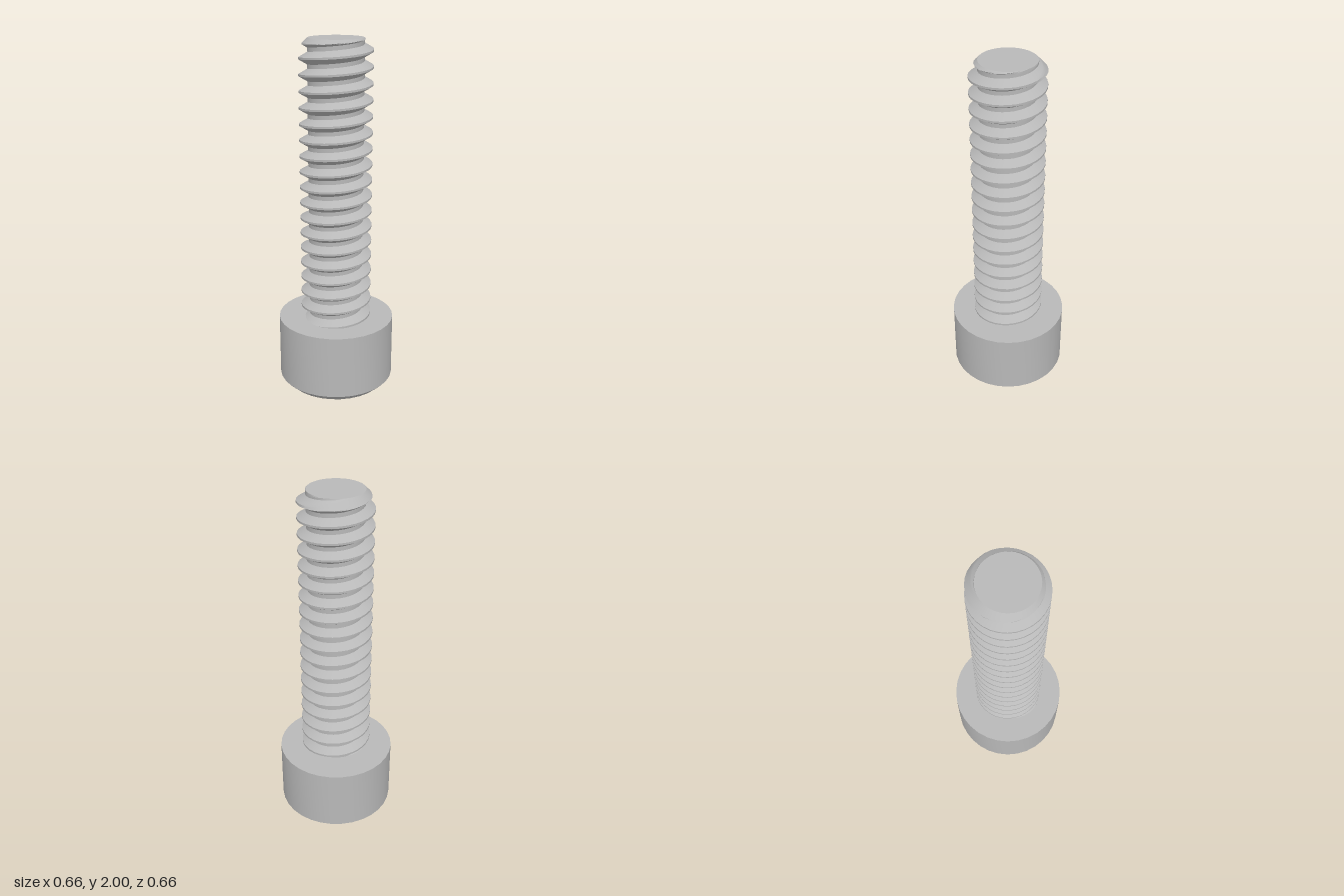
import * as THREE from 'three';
import { toCreasedNormals } from 'three/addons/utils/BufferGeometryUtils.js';

const SIDES = 32;
const TOP = 2, TIP_RADIUS = 0.152;
const PITCH = 0.0887, CREST = 0.202, ROOT = 0.154;
const HEAD_RADIUS = 0.332, HEAD_TOP = 0.404;

// Surface through a grid of points; point(i, j) returns [x, y, z]
function grid(nu, nv, point) {
  const pos = [], index = [];
  for (let i = 0; i <= nu; i++) for (let j = 0; j <= nv; j++) pos.push(...point(i, j));
  for (let i = 0; i < nu; i++) for (let j = 0; j < nv; j++) {
    const a = i * (nv + 1) + j, b = a + nv + 1;
    index.push(a, b, b + 1, a, b + 1, a + 1);
  }
  const g = new THREE.BufferGeometry();
  g.setAttribute('position', new THREE.Float32BufferAttribute(pos, 3));
  g.setIndex(index);
  return toCreasedNormals(g, 0.45);
}

const polar = (r, y, a) => [r * Math.cos(a), y, -r * Math.sin(a)];

// Right-handed thread: one-pitch section swept up a helix, trimmed by the tip chamfer
function threadGeometry() {
  const flank = 7, half = [];
  for (let k = 0; k <= flank; k++) {
    const t = k / flank;
    half.push([-PITCH * (3 / 8 - t * 5 / 16), ROOT + (CREST - ROOT) * t]);
  }
  const section = [
    [-PITCH / 2, ROOT], ...half,
    ...half.map(([u, r]) => [-u, r]).reverse(), [PITCH / 2, ROOT],
  ];
  const start = 1.946 - 18 * PITCH;
  return grid(20 * SIDES, section.length - 1, (i, j) => {
    const turn = i / SIDES;
    const y = Math.min(TOP, start + PITCH * turn + section[j][0]);
    const r = Math.min(section[j][1], TIP_RADIUS + TOP - y);
    return polar(r, y, turn * Math.PI * 2);
  });
}

// Hex recess: countersunk mouth, six walls and a floor
function socketGeometry() {
  const apothem = 0.166, mouth = 0.2, depth = 0.2, n = 72;
  return grid(n, 3, (i, j) => {
    const a = Math.PI / 2 - (i / n) * Math.PI * 2;
    const step = (i % (n / 6)) / (n / 6) * Math.PI / 3;
    const hex = apothem / Math.cos(step - Math.PI / 6);
    const r = [mouth, hex, hex, 0][j];
    const y = [0, (mouth - hex) * 0.6, depth, depth][j];
    return polar(r, y, a);
  });
}

export function createModel() {
  const steel = new THREE.MeshStandardMaterial({ color: 0xb8b8b8 });
  steel.name = 'steel';
  const screw = new THREE.Group();
  screw.name = 'socketHeadScrew';
  const add = (name, geometry) => {
    const mesh = new THREE.Mesh(geometry, steel);
    mesh.name = name;
    screw.add(mesh);
    return mesh;
  };

  // Cylindrical head with a chamfered lower rim
  const profile = [[0.2, 0], [0.29, 0], [HEAD_RADIUS, 0.04], [HEAD_RADIUS, HEAD_TOP], [0, HEAD_TOP]]
    .map(([r, y]) => new THREE.Vector2(r, y));
  add('head', toCreasedNormals(new THREE.LatheGeometry(profile, SIDES), 0.45));
  add('hexSocket', socketGeometry());

  // Threaded shank and its flat end
  add('thread', threadGeometry());
  add('tip', new THREE.CircleGeometry(TIP_RADIUS, SIDES).rotateX(-Math.PI / 2)).position.y = TOP;

  return screw;
}
